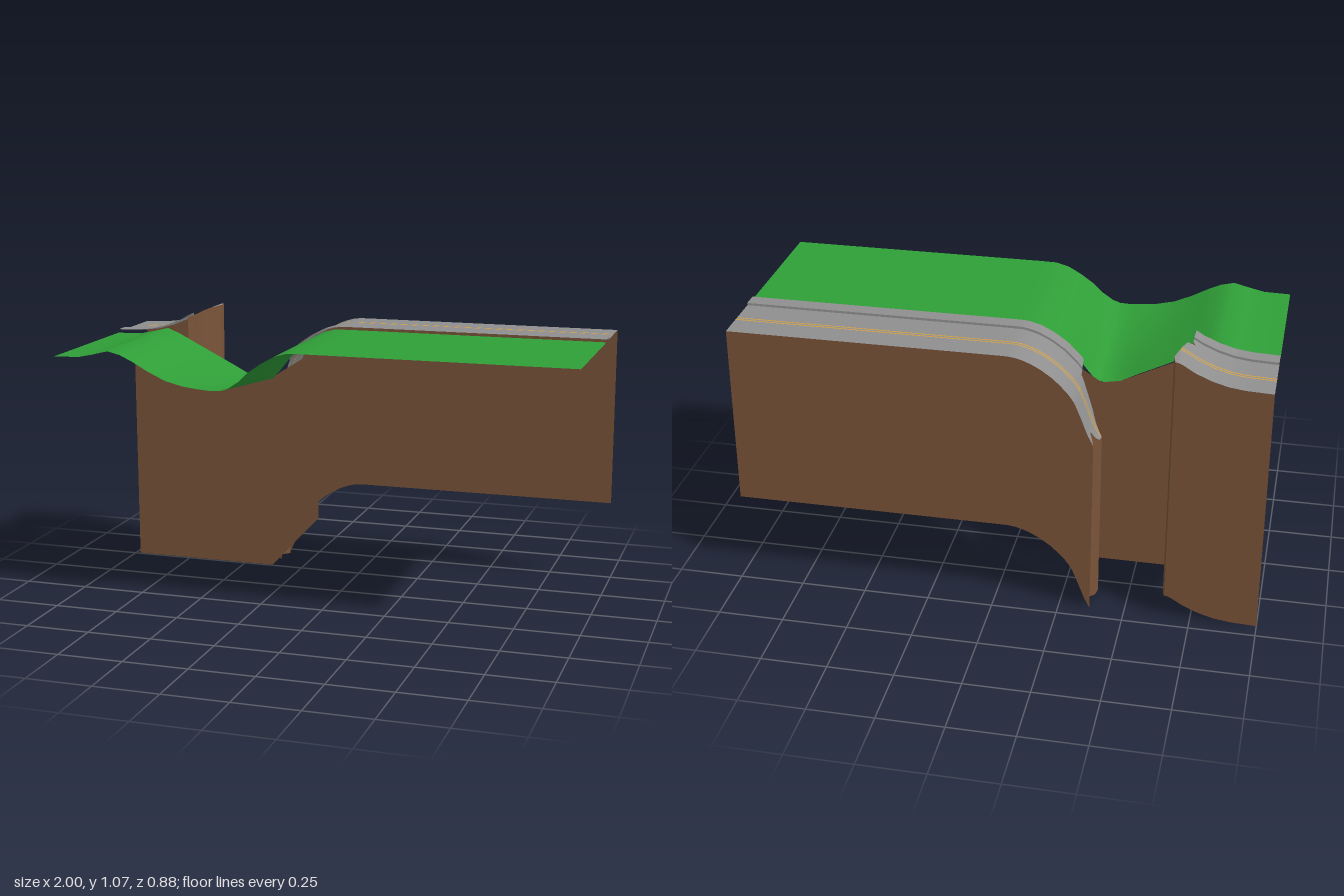
import * as THREE from 'three';

const mat = (name, color) => {
  const m = new THREE.MeshStandardMaterial({ color, side: THREE.DoubleSide });
  m.name = name;
  return m;
};

// piecewise linear lookup through [key, value] points with rising keys
const lookup = (pts) => (k) => {
  if (k <= pts[0][0]) return pts[0][1];
  for (let i = 1; i < pts.length; i++) {
    const [k0, v0] = pts[i - 1], [k1, v1] = pts[i];
    if (k <= k1) return v0 + ((v1 - v0) * (k - k0)) / (k1 - k0);
  }
  return pts[pts.length - 1][1];
};

// open sheet from f(u, v) -> [x, y, z]
function sheet(f, nu, nv) {
  const pos = [], idx = [];
  for (let i = 0; i <= nu; i++) for (let j = 0; j <= nv; j++) pos.push(...f(i / nu, j / nv));
  for (let i = 0; i < nu; i++) for (let j = 0; j < nv; j++) {
    const a = i * (nv + 1) + j, b = a + nv + 1;
    idx.push(a, b, a + 1, b, b + 1, a + 1);
  }
  const g = new THREE.BufferGeometry();
  g.setAttribute('position', new THREE.Float32BufferAttribute(pos, 3));
  g.setIndex(idx);
  g.computeVertexNormals();
  return g;
}

export function createModel() {
  const grass = mat('grass green', 0x2f9e37);
  const asphalt = mat('asphalt grey', 0x8f8f8f);
  const earth = mat('earth brown', 0x7a5439);
  const paint = mat('lane orange', 0xd9a03a);
  const root = new THREE.Group();
  root.name = 'collapsedRoad';
  const add = (parent, name, geometry, material) => {
    const m = new THREE.Mesh(geometry, material);
    m.name = name;
    parent.add(m);
  };
  const FRONT = -0.145, BACK = -0.44, CURB = -0.205;
  const lerp = THREE.MathUtils.lerp;

  // grass verge: [x, height at front edge, height at back edge]
  const verge = [
    [-1, 0.97, 0.97], [-0.9, 0.972, 0.972], [-0.84, 0.985, 0.985], [-0.78, 1.0, 1.0],
    [-0.73, 0.988, 0.98], [-0.68, 0.965, 0.955], [-0.62, 0.932, 0.925], [-0.55, 0.9, 0.89],
    [-0.48, 0.883, 0.855], [-0.42, 0.876, 0.823], [-0.37, 0.872, 0.81], [-0.33, 0.874, 0.817],
    [-0.3, 0.885, 0.85], [-0.26, 0.912, 0.9], [-0.22, 0.95, 0.947], [-0.17, 0.985, 0.985],
    [-0.12, 1.013, 1.013], [-0.07, 1.027, 1.027], [0, 1.028, 1.028], [1, 1.028, 1.028],
  ];
  add(root, 'grassVerge', sheet((u, v) => {
    const p = verge[Math.round(u * (verge.length - 1))];
    return [p[0], lerp(p[1], p[2], v), lerp(0.44, FRONT, v)];
  }, verge.length - 1, 6), grass);

  // flat earth face below the dip
  const face = new THREE.Shape([
    [-0.93, 0.035], [-0.34, 0.035], [-0.14, 0.25], [-0.14, 0.945],
    [-0.35, 0.81], [-0.42, 0.823], [-0.78, 1.0], [-0.93, 0.95],
  ].map(([x, y]) => new THREE.Vector2(x, y)));
  const faceGeo = new THREE.ShapeGeometry(face);
  faceGeo.translate(0, 0, FRONT);
  add(root, 'frontEarthFace', faceGeo, earth);

  // the two broken road pieces: height along x, and ragged end x along z
  const pieces = [
    {
      name: 'leftRoad', outer: -1, depth: 0.975, endBottom: 0.083, endFront: FRONT,
      height: lookup([[-1, 0.975], [-0.9, 0.979], [-0.84, 0.987], [-0.78, 1.004],
        [-0.72, 1.03], [-0.68, 1.055], [-0.66, 1.064], [-0.64, 1.066]]),
      end: lookup([[-0.44, -0.65], [-0.4, -0.64], [-0.34, -0.652], [-0.285, -0.665],
        [-0.255, -0.672], [-0.245, -0.7], [-0.23, -0.69], [-0.145, -0.692]]),
    },
    {
      name: 'rightRoad', outer: 1, depth: 0.703, endBottom: 0.012, endFront: -0.3,
      height: lookup([[-0.385, 0.68], [-0.365, 0.705], [-0.345, 0.745], [-0.32, 0.81],
        [-0.295, 0.87], [-0.27, 0.905], [-0.22, 0.955], [-0.17, 0.99],
        [-0.12, 1.015], [-0.07, 1.029], [-0.03, 1.03], [1, 1.03]]),
      end: lookup([[-0.44, -0.368], [-0.425, -0.362], [-0.4, -0.348], [-0.37, -0.378],
        [-0.335, -0.384], [-0.3, -0.352], [-0.28, -0.342], [-0.24, -0.288], [-0.145, -0.28]]),
    },
  ];

  for (const p of pieces) {
    const group = new THREE.Group();
    group.name = p.name;
    root.add(group);
    const left = p.outer < 0;
    // x runs upward with u; samples crowd towards the broken end
    const xAt = (u, z) => left
      ? lerp(p.end(z), p.outer, (1 - u) ** 2)
      : lerp(p.end(z), p.outer, u ** 2);
    const band = (name, z0, z1, lift0, lift1, material, n) =>
      add(group, name, sheet((u, v) => {
        const z = lerp(z0, z1, v), x = xAt(u, z);
        return [x, p.height(x) + lerp(lift0, lift1, v), z];
      }, 48, n), material);

    // pavement, kerb, lanes and the double centre line
    band('pavement', FRONT, CURB, 0.009, 0.009, asphalt, 4);
    band('kerb', CURB, CURB - 0.0005, 0.009, 0, asphalt, 1);
    band('frontLane', CURB, -0.317, 0, 0, asphalt, 14);
    band('centreLine', -0.317, -0.323, 0, 0, paint, 1);
    band('lineGap', -0.323, -0.332, 0, 0, asphalt, 1);
    band('centreLine', -0.332, -0.338, 0, 0, paint, 1);
    band('backLane', -0.338, BACK, 0, 0, asphalt, 14);

    // earth wall along the back, with its foot following the road
    add(group, 'backEarthWall', sheet((u, v) => {
      const x = xAt(u, BACK), y = p.height(x);
      return [x, y - p.depth * v, BACK];
    }, 48, 1), earth);

    // ragged earth wall at the break
    add(group, 'brokenEndWall', sheet((u, v) => {
      const z = left ? lerp(BACK, p.endFront, u) : lerp(p.endFront, BACK, u);
      const x = p.end(z);
      return [x, lerp(p.height(x), p.endBottom, v), z];
    }, 28, 1), earth);
  }
  return root;
}
